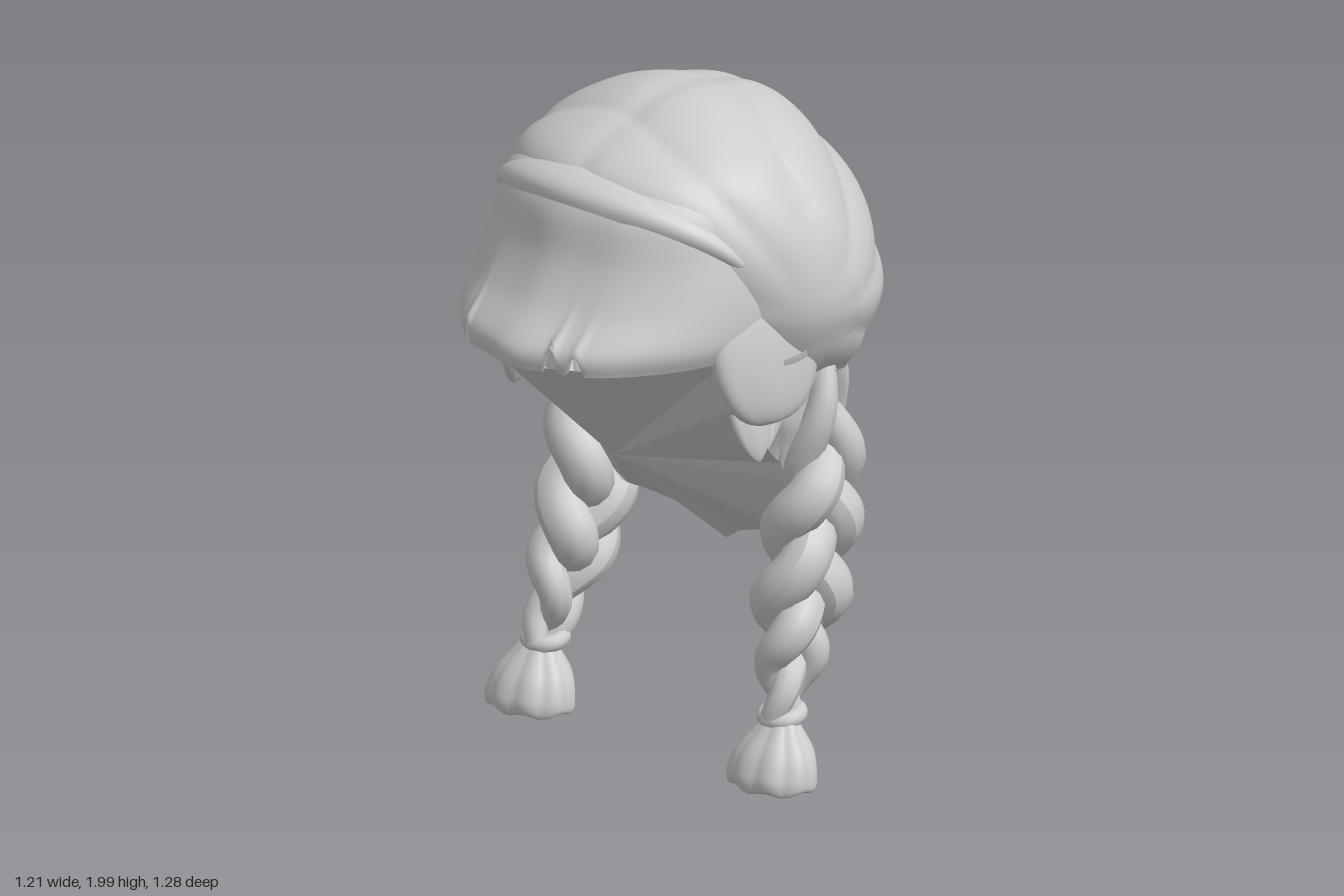
import * as THREE from 'three';
import { mergeVertices } from 'three/addons/utils/BufferGeometryUtils.js';

const { sin, cos, abs, PI, max, min, pow, atan2, hypot, exp } = Math;
const V = (x, y, z) => new THREE.Vector3(x, y, z);
const mat = new THREE.MeshStandardMaterial({ color: 0xcccccc, side: THREE.DoubleSide });
const faceted = mat.clone();
faceted.flatShading = true;

function add(parent, name, geometry, material = mat) {
  const mesh = new THREE.Mesh(geometry, material);
  mesh.name = name;
  parent.add(mesh);
  return mesh;
}

// Smooth surface from a rule fn(u, v) -> Vector3
function grid(nu, nv, fn) {
  const pos = [], idx = [];
  for (let j = 0; j <= nv; j++)
    for (let i = 0; i <= nu; i++) pos.push(...fn(i / nu, j / nv).toArray());
  for (let j = 0; j < nv; j++)
    for (let i = 0; i < nu; i++) {
      const a = j * (nu + 1) + i, b = a + nu + 1;
      idx.push(a, b, a + 1, a + 1, b, b + 1);
    }
  const g = new THREE.BufferGeometry();
  g.setAttribute('position', new THREE.Float32BufferAttribute(pos, 3));
  g.setIndex(idx);
  const m = mergeVertices(g, 1e-5);
  m.computeVertexNormals();
  return m;
}

// Rows of [y, half width, front z, back z], interpolated along v
function profile(rows) {
  const a = new THREE.SplineCurve(rows.map(r => new THREE.Vector2(r[0], r[1])));
  const b = new THREE.SplineCurve(rows.map(r => new THREE.Vector2(r[2], r[3])));
  return v => {
    const p = a.getPoint(v), q = b.getPoint(v);
    return { y: p.x, w: max(p.y, 0), zf: q.x, zb: q.y };
  };
}

// Rounded crown with soft locks fanning from above the ears to the parting
function crownGeometry() {
  const at = profile([
    [2.0, 0, -0.1, -0.1], [1.985, 0.13, 0.05, -0.23], [1.93, 0.28, 0.21, -0.36],
    [1.83, 0.42, 0.36, -0.48], [1.66, 0.53, 0.37, -0.59], [1.46, 0.575, 0.3, -0.64],
    [1.32, 0.54, 0.22, -0.615], [1.23, 0.49, 0.12, -0.54], [1.17, 0.42, 0.06, -0.46]]);
  return grid(140, 70, (u, v) => {
    const r = at(v), t = u * 2 * PI, c = cos(t);
    const z0 = (r.zb + r.zf) / 2 - 0.04 * min(1, r.w * 4);
    const z = c > 0 ? z0 + pow(c, 0.8) * (r.zf - z0) : z0 - pow(-c, 1.3) * (z0 - r.zb);
    const p = V(r.w * sin(t), r.y, z);
    const dy = p.y - 1.42, dz = p.z + 0.05;
    const fade = min(1, max(0, hypot(dy, dz) / 0.3 - 0.3));
    const lock = pow(abs(sin(atan2(dy, dz) * 5 + 1.3 * abs(p.x) + 0.5 * sin(p.x * 4))), 0.7) - 0.7;
    const part = 0.012 * exp(-pow(p.x / 0.045, 2)) * fade;
    const k = 1 + 0.034 * lock * fade - part;
    return V(p.x * k, 1.42 + dy * k, -0.05 + dz * k);
  });
}

// Fringe sweeping forward, with slits along its lower edge
function fringeGeometry() {
  const at = profile([
    [1.85, 0.28, 0.33, 0], [1.82, 0.36, 0.39, 0], [1.75, 0.425, 0.44, 0], [1.62, 0.465, 0.475, 0],
    [1.5, 0.485, 0.54, 0], [1.4, 0.48, 0.63, 0], [1.34, 0.455, 0.635, 0]]);
  const slits = [[-0.22, 0.09], [0.13, 0.12], [0.2, 0.09]];
  return grid(160, 36, (u, v) => {
    const r = at(v), t = (u - 0.5) * PI, x = r.w * sin(t);
    let y = r.y;
    for (const [sx, h] of slits) y += h * pow(v, 8) * max(0, 1 - abs(x - sx) / 0.02);
    const c = pow(max(cos(t), 0), 0.82);
    return V(x, y, c * (r.zf + 0.006 * cos(x * 26) * v));
  });
}

// Flat layer of hair bridging the crown's front edge and the fringe
function bandGeometry() {
  return grid(90, 14, (u, v) => {
    const t = (u - 0.5) * PI * 0.96, c = cos(t), edge = pow(v, 6);
    const puff = 0.014 * sin(min(1, v * 1.05) * PI);
    return V((0.465 + 0.03 * v + puff - 0.03 * edge) * sin(t),
      1.4 + 0.46 * pow(c, 0.6) - (0.06 * v + 0.02 * edge) * pow(c, 0.5) + puff * c,
      0.02 + c * (0.27 + 0.175 * v - 0.03 * edge + puff));
  });
}

// Height of the nape's lower edge, s = 0 in the middle and 1 beside the braid
const rimY = s => s < 0.62 ? 0.55 + 0.115 * pow(s / 0.62, 0.6) : 0.665 + 0.27 * (s - 0.62) / 0.38;
const napeProfile = profile([
  [0, 0.52, 0, -0.57], [0, 0.485, 0, -0.51], [0, 0.455, 0, -0.51],
  [0, 0.44, 0, -0.51], [0, 0.41, 0, -0.4], [0, 0.39, 0, -0.28]]);

// Curtain at the nape, gathered towards the braids and pointed in the middle
function napePoint(u, v) {
  const s = u * 2 - 1, r = napeProfile(v), t = s * PI / 2;
  const y = 1.32 + (rimY(abs(s)) - 1.32) * v;
  const fold = 0.028 * sin(abs(s) * 14 + v * 4) * sin(v * PI);
  const zs = 0.05 - 0.13 * v;
  return V(r.w * sin(t), y, zs + cos(t) * (r.zb - zs - fold));
}

// Pleated lining: every edge point runs to one central apex
function liningGeometry() {
  const half = [[0, 1.345, 0.6], [0.1, 1.345, 0.6], [0.2, 1.345, 0.55], [0.35, 1.35, 0.4],
    [0.44, 1.33, 0.24], [0.47, 1.2, 0.19], [0.455, 1.08, 0.08], [0.42, 1.0, 0]].map(p => V(...p));
  for (let i = 0; i <= 12; i++) half.push(napePoint(1 - i / 24, 1));
  const loop = [...half, ...half.slice(1, -1).reverse().map(p => V(-p.x, p.y, p.z))];
  const apex = V(0, 0.94, 0.2), pts = [];
  loop.forEach((p, i) => pts.push(apex, loop[(i + 1) % loop.length], p));
  const g = new THREE.BufferGeometry().setFromPoints(pts);
  g.computeVertexNormals();
  return g;
}

// One strand of a three-strand braid, thin at both ends
function strandGeometry(side, k) {
  const core = new THREE.CatmullRomCurve3([V(0.45, 1.22, -0.2), V(0.435, 0.95, -0.21),
    V(0.425, 0.75, -0.18), V(0.425, 0.55, -0.135), V(0.44, 0.38, -0.075), V(0.455, 0.2, -0.01)]);
  const size = t => min(1, 0.45 + t * 1.7) * min(1, 0.45 + (1 - t) * 1.7);
  const pts = [];
  for (let i = 0; i <= 48; i++) {
    const t = i / 48, a = t * 2 * PI * 1.6 + k * 2 * PI / 3, p = core.getPoint(t);
    p.x = side * (p.x + 0.042 * sin(2 * a) * size(t));
    p.z += 0.084 * sin(a) * size(t);
    pts.push(p);
  }
  const path = new THREE.CatmullRomCurve3(pts), n = 90, m = 12;
  const g = new THREE.TubeGeometry(path, n, 1, m);
  const pos = g.attributes.position, q = V(0, 0, 0);
  for (let i = 0; i <= n; i++) {
    const c = path.getPointAt(i / n), r = 0.074 * size(i / n);
    for (let j = 0; j <= m; j++) {
      const id = i * (m + 1) + j;
      q.fromBufferAttribute(pos, id).sub(c).multiplyScalar(r).add(c);
      pos.setXYZ(id, q.x, q.y, q.z);
    }
  }
  g.computeVertexNormals();
  return g;
}

// Flared, grooved brush end with a hollowed underside
function tuftGeometry() {
  const at = profile([[0.21, 0.045, 0, 0], [0.17, 0.075, 0, 0], [0.11, 0.12, 0, 0],
    [0.05, 0.138, 0, 0], [0.012, 0.13, 0, 0], [0.025, 0.08, 0, 0], [0.05, 0, 0, 0]]);
  return grid(72, 28, (u, v) => {
    const r = at(v), t = u * 2 * PI;
    const w = r.w * (1 + 0.06 * (abs(sin(t * 4.5)) - 0.6) + 0.02 * sin(t * 3));
    return V(w * cos(t), r.y + 0.008 * sin(t * 7) * v, w * 0.82 * sin(t) + 0.04 * min(1, v * 2));
  });
}

// Flattened lock over the ear, leaning outwards below and tapering to a tip
function earLockGeometry(side, c, rx, ry, rz, taper) {
  return grid(40, 28, (u, v) => {
    const a = u * 2 * PI, s = sin(v * PI), w = v > 0.5 ? pow(max(s, 0), taper) : s;
    const groove = 1 + 0.05 * sin(a * 6);
    return V(side * (c.x + rx * w * cos(a) * groove - 0.04 * cos(v * PI)),
      c.y + ry * cos(v * PI), c.z + rz * w * sin(a));
  });
}

export function createModel() {
  const model = new THREE.Group();
  model.name = 'braidedHair';
  add(model, 'crown', crownGeometry());
  add(model, 'fringe', fringeGeometry());
  add(model, 'frontBand', bandGeometry());
  add(model, 'nape', grid(96, 40, napePoint));
  add(model, 'lining', liningGeometry(), faceted);

  for (const side of [1, -1]) {
    const label = side > 0 ? 'left' : 'right';
    add(model, label + 'EarLock', earLockGeometry(side, V(0.435, 1.36, 0.04), 0.07, 0.24, 0.215, 0.75));
    add(model, label + 'EarLockTip', earLockGeometry(side, V(0.43, 1.17, 0.1), 0.035, 0.16, 0.08, 1.4));

    const braid = new THREE.Group();
    braid.name = label + 'Braid';
    for (let k = 0; k < 3; k++) add(braid, 'strand', strandGeometry(side, k));
    const tie = add(braid, 'hairTie', new THREE.TorusGeometry(0.048, 0.026, 12, 32));
    tie.position.set(side * 0.455, 0.205, -0.015);
    tie.rotation.x = PI / 2 + 0.2;
    const tuft = add(braid, 'tuft', tuftGeometry());
    tuft.position.set(side * 0.465, 0, -0.005);
    model.add(braid);
  }
  return model;
}
